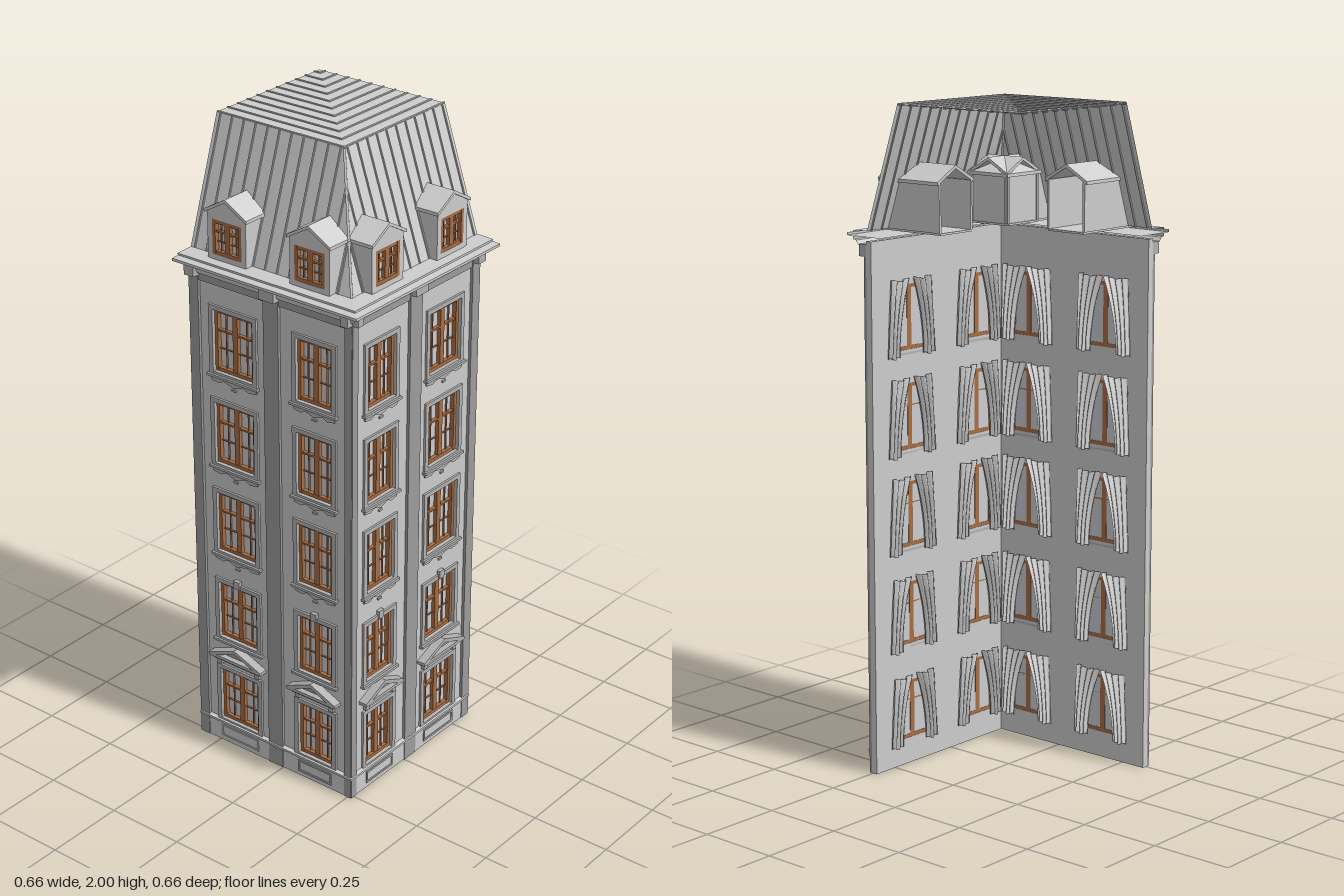
import * as THREE from 'three';

const mat = (name, color, side = THREE.FrontSide) => {
  const m = new THREE.MeshStandardMaterial({ color, side });
  m.name = name;
  return m;
};
const WALL = mat('plaster', 0xcccccc, THREE.DoubleSide);
const DARK = mat('pilaster grey', 0x9c9c9c);
const TRIM = mat('trim grey', 0xb2b2b2);
const ROOF = mat('sheet metal', 0xcecece, THREE.DoubleSide);
const WOOD = mat('window wood', 0xa86c42);
const GLASS = mat('glass', 0xcaccd0, THREE.DoubleSide);
const CLOTH = mat('curtain', 0xdcdcdc, THREE.DoubleSide);

const END = 0.33;          // open ends of both wings
const OUT = 0.255, IN = 0.235; // outer and inner wall faces
const EAVE = 0.25, RIDGE = 0.127, BASE = 1.63, TOP = 1.996;

function add(parent, name, geo, material, x = 0, y = 0, z = 0) {
  const m = new THREE.Mesh(geo, material);
  m.name = name;
  m.position.set(x, y, z);
  parent.add(m);
  return m;
}
// Box given by its limits
const box = (p, name, material, x0, x1, y0, y1, z0, z1) =>
  add(p, name, new THREE.BoxGeometry(x1 - x0, y1 - y0, z1 - z0), material, (x0 + x1) / 2, (y0 + y1) / 2, (z0 + z1) / 2);

const rect = (T, x0, x1, y0, y1) => {
  const s = new T();
  s.moveTo(x0, y0).lineTo(x1, y0).lineTo(x1, y1).lineTo(x0, y1).closePath();
  return s;
};
const poly = pts => new THREE.Shape(pts.map(p => new THREE.Vector2(...p)));
const plate = (p, name, material, shape, z0, z1) =>
  add(p, name, new THREE.ExtrudeGeometry(shape, { depth: z1 - z0, bevelEnabled: false }), material, 0, 0, z0);

// Profile of [distance, height] carried round the mitred outer corner
function sweepL(profile) {
  const pos = [];
  const ring = profile.map(([d, y]) => [[END, y, d], [-d, y, d], [-d, y, -END]]);
  for (let i = 0; i + 1 < ring.length; i++) for (let j = 0; j < 2; j++) {
    const a = ring[i][j], b = ring[i][j + 1], c = ring[i + 1][j + 1], d = ring[i + 1][j];
    pos.push(...a, ...c, ...b, ...a, ...d, ...c);
  }
  const g = new THREE.BufferGeometry();
  g.setAttribute('position', new THREE.Float32BufferAttribute(pos, 3));
  g.computeVertexNormals();
  return g;
}

// Two-leaf casement with glazing bars
function casement(p, w, y0, y1, z) {
  const g = new THREE.Group();
  g.name = 'casementWindow';
  p.add(g);
  const h = w / 2, t = 0.011;
  add(g, 'glass', new THREE.PlaneGeometry(w, y1 - y0), GLASS, 0, (y0 + y1) / 2, z - 0.006);
  for (const s of [-1, 1]) {
    box(g, 'stile', WOOD, s * (h - t / 2) - t / 2, s * (h - t / 2) + t / 2, y0, y1, z - 0.007, z + 0.008);
    box(g, 'glazingBar', WOOD, s * h * 0.52 - 0.0015, s * h * 0.52 + 0.0015, y0, y1, z - 0.005, z);
  }
  box(g, 'mullion', WOOD, -0.009, 0.009, y0, y1, z - 0.007, z + 0.006);
  box(g, 'bottomRail', WOOD, -h, h, y0, y0 + t, z - 0.007, z + 0.007);
  box(g, 'topRail', WOOD, -h, h, y1 - t, y1, z - 0.007, z + 0.007);
  const bar = y0 + (y1 - y0) * 0.66, low = y0 + (y1 - y0) * 0.36;
  box(g, 'transom', WOOD, -h, h, bar - 0.003, bar + 0.003, z - 0.006, z + 0.005);
  box(g, 'glazingBar', WOOD, -h, h, low - 0.0015, low + 0.0015, z - 0.005, z);
}

// Gathered drape hanging on one side of a window
function drape(p, side, half, y0, y1, z) {
  const g = new THREE.PlaneGeometry(1, 1, 28, 6);
  const a = g.attributes.position;
  for (let i = 0; i < a.count; i++) {
    const u = a.getX(i) + 0.5, v = a.getY(i) + 0.5;
    const inner = half * (0.5 - 0.46 * v * v), outer = half * (1 - 0.1 * v);
    const x = side > 0 ? inner + (outer - inner) * u : -outer + (outer - inner) * u;
    a.setXYZ(i, x, y0 + (y1 - y0) * v + 0.003 * Math.sin(u * 9), 0.007 * Math.sin(u * Math.PI * 7 + v * 0.8));
  }
  g.computeVertexNormals();
  add(p, 'curtain', g, CLOTH, 0, 0, z);
}

const FLOORS = [[0.08, 0.26], [0.375, 0.565], [0.675, 0.872], [0.97, 1.168], [1.268, 1.462]];
const COLUMNS = [[-0.124, 0.128], [0.172, 0.148]];

function windowBay(p, w, floor) {
  const [y0, y1] = FLOORS[floor], h = w / 2;
  casement(p, w, y0, y1, 0.243);
  const ring = rect(THREE.Shape, -h - 0.015, h + 0.015, y0 - 0.01, y1 + 0.014);
  ring.holes.push(rect(THREE.Path, -h, h, y0, y1));
  plate(p, 'windowSurround', TRIM, ring, OUT - 0.002, OUT + 0.007);
  for (const s of [-1, 1]) drape(p, s, 0.1, y0 - 0.018, y1 + 0.016, 0.224);
  if (floor) box(p, 'sill', TRIM, -h - 0.02, h + 0.02, y0 - 0.016, y0 - 0.008, IN, OUT + 0.014);
  if (floor > 1) {
    // scalloped apron with a small drop
    const b = y0 - 0.016, a = poly([[-h - 0.014, b], [-h - 0.01, b - 0.014], [-h * 0.75, b - 0.018], [-h * 0.5, b - 0.009],
      [0, b - 0.02], [h * 0.5, b - 0.009], [h * 0.75, b - 0.018], [h + 0.01, b - 0.014], [h + 0.014, b]]);
    plate(p, 'apron', TRIM, a, OUT - 0.001, OUT + 0.005);
    box(p, 'drop', TRIM, -0.008, 0.008, b - 0.031, b - 0.025, OUT - 0.001, OUT + 0.005);
  }
  if (floor === 1) {
    box(p, 'keystone', TRIM, -0.011, 0.011, y1 + 0.002, y1 + 0.028, OUT, OUT + 0.012);
  }
  if (floor === 0) {
    // pediment: raking frame, field and base ledge
    const W = h + 0.028, y = 0.308;
    const rake = poly([[-W, y], [W, y], [W, y + 0.01], [0, y + 0.05], [-W, y + 0.01]]);
    rake.holes.push(new THREE.Path([[-W + 0.03, y + 0.01], [0, y + 0.037], [W - 0.03, y + 0.01]].map(q => new THREE.Vector2(...q))));
    plate(p, 'pediment', TRIM, rake, OUT, OUT + 0.028);
    plate(p, 'pedimentField', DARK, poly([[-W + 0.01, y + 0.005], [W - 0.01, y + 0.005], [0, y + 0.045]]), OUT, OUT + 0.01);
    box(p, 'pedimentLedge', TRIM, -W + 0.012, W - 0.012, y - 0.01, y, OUT, OUT + 0.018);
    for (const s of [-1, 1]) box(p, 'bracket', TRIM, s * h - 0.008, s * h + 0.008, y - 0.028, y - 0.01, OUT, OUT + 0.012);
    const pan = rect(THREE.Shape, -h, h, 0.015, 0.056);
    pan.holes.push(rect(THREE.Path, -h + 0.006, h - 0.006, 0.021, 0.05));
    plate(p, 'plinthPanel', TRIM, pan, 0.261, 0.265);
  }
}

function dormer(p) {
  const w = 0.066, eave = 1.772, z0 = 0.05, z1 = 0.276;
  const front = poly([[-w, BASE], [w, BASE], [w, eave], [0, 1.812], [-w, eave]]);
  front.holes.push(rect(THREE.Path, -0.053, 0.053, 1.645, 1.75));
  plate(p, 'dormerFront', WALL, front, z1 - 0.012, z1);
  for (const s of [-1, 1]) box(p, 'dormerCheek', WALL, s * w - 0.004, s * w + 0.004, BASE, eave, z0, z1);
  box(p, 'dormerFloor', WALL, -w, w, BASE - 0.006, BASE, z0, z1);
  plate(p, 'dormerRoof', ROOF, poly([[-0.077, 1.766], [0, 1.81], [0.077, 1.766], [0.077, 1.776], [0, 1.82], [-0.077, 1.776]]), z0, 0.282);
  casement(p, 0.106, 1.645, 1.75, z1 - 0.008);
}

// One wing of the corner; s = -1 lays the bays out in mirror order
function wing(name, s) {
  const g = new THREE.Group();
  g.name = name;
  const span = (a, b) => s > 0 ? [a, b] : [-b, -a];

  const wall = rect(THREE.Shape, ...span(-OUT, END), 0, 1.6);
  for (const [u, w] of COLUMNS) for (const [y0, y1] of FLOORS)
    wall.holes.push(rect(THREE.Path, s * u - w / 2, s * u + w / 2, y0, y1));
  plate(g, 'wall', WALL, wall, IN, OUT);

  // pilaster strips and frieze
  for (const [a, b] of [[-0.262, -0.237], [0, 0.055], [0.295, END]]) {
    const [x0, x1] = span(a, b);
    box(g, 'pilaster', DARK, x0, x1, 0, 1.56, OUT, 0.264);
    box(g, 'pilasterBracket', TRIM, x0, x1, 1.555, 1.59, OUT, 0.283);
  }
  const [f0, f1] = span(-0.26, END);
  box(g, 'frieze', DARK, f0, f1, 1.54, 1.59, OUT, 0.261);

  for (const [u, w] of COLUMNS) {
    const bay = new THREE.Group();
    bay.name = 'bay';
    bay.position.x = s * u;
    g.add(bay);
    FLOORS.forEach((_, i) => windowBay(bay, w, i));
    dormer(bay);
  }

  // standing seams on the steep roof
  const rise = (TOP - BASE) / (EAVE - RIDGE);
  for (let u = -0.202; u < END; u += 0.043) {
    const d1 = Math.max(RIDGE, -u), run = EAVE - d1;
    const seam = add(g, 'roofSeam', new THREE.BoxGeometry(0.004, run * Math.hypot(1, rise), 0.008), ROOF,
      s * u, BASE + run * rise / 2, (EAVE + d1) / 2);
    seam.rotation.x = -Math.atan(1 / rise);
  }
  return g;
}

export function createModel() {
  const model = new THREE.Group();
  model.name = 'cornerHouse';
  model.add(wing('frontWing', 1));
  const side = wing('sideWing', -1);
  side.rotation.y = -Math.PI / 2;
  model.add(side);

  // mouldings running round the corner
  add(model, 'plinth', sweepL([[0.262, 0], [0.262, 0.064], [0.268, 0.066], [0.268, 0.073], [OUT, 0.076]]), WALL);
  add(model, 'cornice', sweepL([[OUT, 1.56], [0.268, 1.565], [0.272, 1.58], [0.285, 1.588], [0.295, 1.6], [0.306, 1.602],
    [0.306, 1.61], [0.33, 1.612], [0.33, 1.62], [0.306, 1.622], [0.306, 1.628], [EAVE, BASE]]), WALL);
  add(model, 'atticFloor', sweepL([[0.33, 1.612], [0.2, 1.612]]), WALL);

  // mansard roof
  add(model, 'steepRoof', sweepL([[EAVE, BASE], [RIDGE, TOP]]), ROOF);
  box(model, 'flatRoof', ROOF, -RIDGE, END, TOP - 0.001, TOP + 0.001, -END, RIDGE);
  for (let d = RIDGE - 0.004; d > -END; d -= 0.043)
    add(model, 'flatRoofSeam', sweepL([[d - 0.003, 1.992], [d + 0.003, 1.992], [d + 0.003, 2], [d - 0.003, 2], [d - 0.003, 1.992]]), ROOF);
  const hip = new THREE.LineCurve3(new THREE.Vector3(-EAVE, BASE, EAVE), new THREE.Vector3(-RIDGE, TOP, RIDGE));
  add(model, 'hipSeam', new THREE.TubeGeometry(hip, 1, 0.004, 6), ROOF);
  return model;
}
